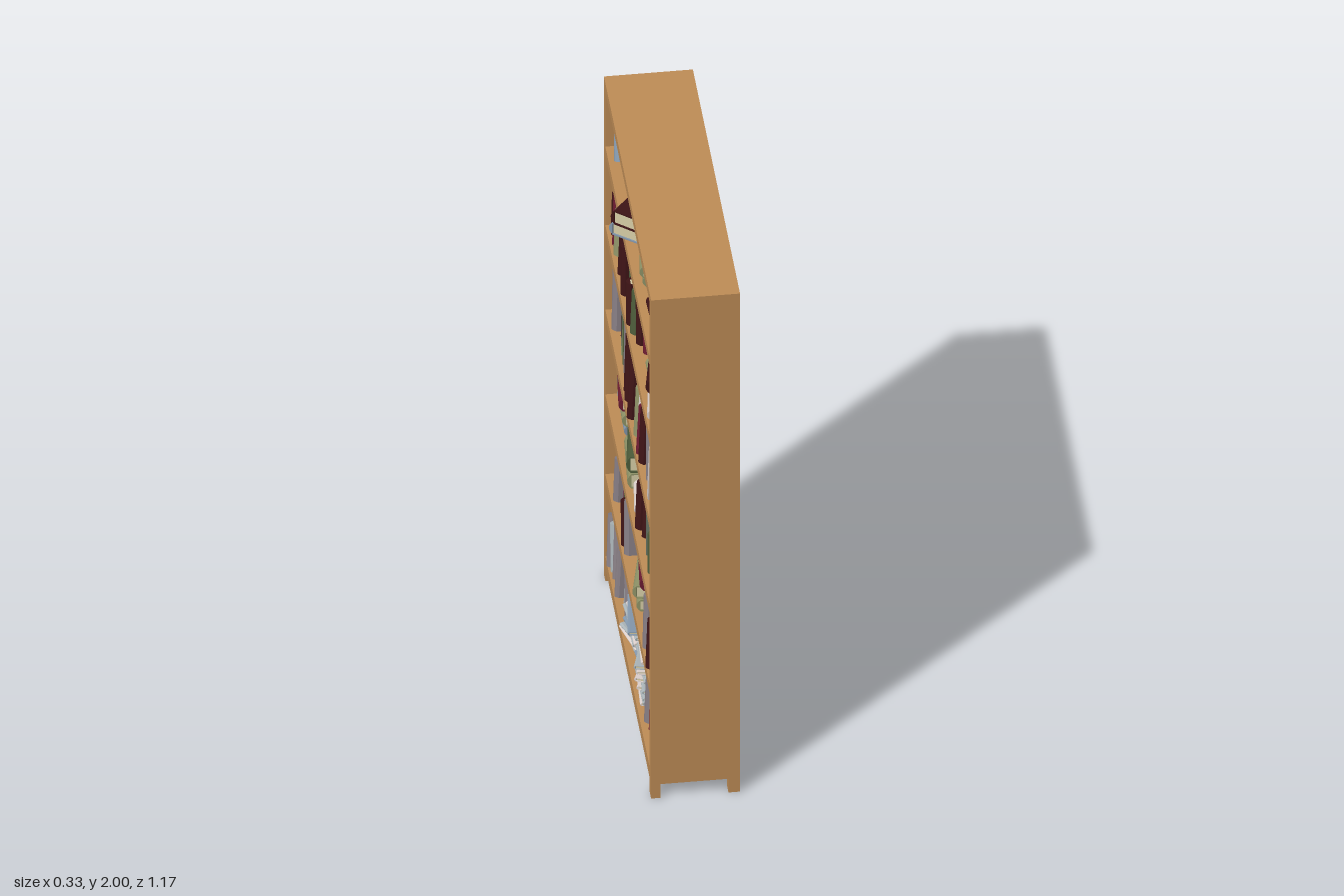
import * as THREE from 'three';

const mat = (color) => new THREE.MeshStandardMaterial({ color, flatShading: true });
const WOOD = mat(0xc08e57), PAGES = mat(0xd6cda6);
// cover colours, looked up by letter
const COVERS = {
  d: mat(0x3e1416), c: mat(0x6c1c31), o: mat(0x8f9468), g: mat(0x4d5c3a),
  s: mat(0x5f6a5c), b: mat(0x8397ac), m: mat(0x857c82), w: mat(0xdcd0cc), l: mat(0xaab4b8),
};
const SHELF_Y = [0.1, 0.43, 0.75, 1.09, 1.43, 1.745]; // top surfaces, bottom to top

let seed = 7;
const rand = (a = 0, b = 1) => {
  seed = (seed * 16807) % 2147483647;
  return a + (b - a) * (seed / 2147483647);
};

function box(parent, name, material, x0, x1, y0, y1, z0, z1) {
  const mesh = new THREE.Mesh(new THREE.BoxGeometry(x1 - x0, y1 - y0, z1 - z0), material);
  mesh.position.set((x0 + x1) / 2, (y0 + y1) / 2, (z0 + z1) / 2);
  mesh.name = name;
  parent.add(mesh);
}

// Book lying flat and centred: depth along x (spine at -x), thickness along y, length along z
function book(letter, depth, thick, length) {
  const group = new THREE.Group();
  group.name = 'book';
  const d = depth / 2, t = thick / 2, c = Math.min(0.005, thick * 0.15), b = Math.min(0.014, t);
  const profile = new THREE.Shape();
  profile.moveTo(d, t);
  profile.lineTo(-d + b, t);
  profile.quadraticCurveTo(-d - b, 0, -d + b, -t);
  profile.lineTo(d, -t);
  profile.lineTo(d, -t + c);
  profile.lineTo(-d + b, -t + c);
  profile.lineTo(-d + b, t - c);
  profile.lineTo(d, t - c);
  const geometry = new THREE.ExtrudeGeometry(profile, { depth: length, bevelEnabled: false, curveSegments: 6 });
  geometry.translate(0, 0, -length / 2);
  const cover = new THREE.Mesh(geometry, COVERS[letter]);
  cover.name = 'bookCover';
  group.add(cover);
  const e = 0.005;
  box(group, 'bookPages', PAGES, -d + b, d - e, -t + c, t - c, -length / 2 + e, length / 2 - e);
  return group;
}

// Row of standing books filling z0..z1, leaning towards -z
function row(parent, shelf, z0, z1, letters, hMin, hMax, lean) {
  const group = new THREE.Group();
  group.name = 'bookRow';
  const pitch = (z1 - z0) / letters.length;
  [...letters].forEach((letter, i) => {
    const thick = pitch * rand(0.68, 0.88), h = rand(hMin, hMax), depth = rand(0.12, 0.15);
    const a = lean * rand(0.3, 1.3);
    const item = book(letter, depth, thick, h);
    item.rotation.order = 'ZXY';
    item.rotation.x = -Math.PI / 2 - a;
    item.rotation.z = -rand(0, 0.07);
    item.position.set(rand(-0.118, -0.08) + depth / 2,
      SHELF_Y[shelf] + (h / 2) * Math.cos(a) + (thick / 2) * Math.sin(a), z0 + pitch * (i + 0.5));
    group.add(item);
  });
  parent.add(group);
}

// Pile of flat books listed from bottom to top
function stack(parent, shelf, x, z, letters, thick, turn = 0, jitter = 0.15, length = 0.21, depth = 0.13) {
  const group = new THREE.Group();
  group.name = 'bookStack';
  let y = 0;
  for (const letter of letters) {
    const t = thick * rand(0.9, 1.1), k = rand(0.92, 1.04);
    const item = book(letter, depth * k, t, length * k);
    item.position.set(rand(-0.008, 0.008), y + t / 2, rand(-0.012, 0.012));
    item.rotation.y = rand(-jitter, jitter);
    y += t;
    group.add(item);
  }
  group.position.set(x, SHELF_Y[shelf], z);
  group.rotation.y = turn;
  parent.add(group);
}

export function createModel() {
  seed = 7;
  const model = new THREE.Group();
  model.name = 'bookcase';
  const X0 = -0.118, X1 = 0.167, Z = 0.5875;

  // case
  const frame = new THREE.Group();
  frame.name = 'case';
  model.add(frame);
  box(frame, 'backPanel', WOOD, 0.14, X1, 0.055, 2, -Z, Z);
  box(frame, 'topPanel', WOOD, X0, 0.14, 1.965, 2, -Z, Z);
  box(frame, 'basePanel', WOOD, X0, 0.14, 0.055, SHELF_Y[0], -Z, Z);
  for (const s of [-1, 1]) {
    const zs = [s * Z, s * (Z - 0.035)].sort((a, b) => a - b);
    box(frame, 'sidePanel', WOOD, X0, 0.14, SHELF_Y[0], 1.965, ...zs);
    box(frame, 'foot', WOOD, X0, X0 + 0.03, 0, 0.055, ...zs);
    box(frame, 'foot', WOOD, X1 - 0.037, X1, 0, 0.055, ...zs);
  }
  for (const y of SHELF_Y.slice(1)) {
    box(frame, 'shelf', WOOD, X0, 0.14, y - 0.035, y, -Z + 0.035, Z - 0.035);
  }

  // top shelf: three piles and one slumped book
  stack(model, 5, -0.05, -0.135, 'bd', 0.054, -0.7, 0.06, 0.2);
  stack(model, 5, -0.02, 0.1, 'oos', 0.045, -0.12);
  stack(model, 5, -0.03, 0.385, 'dos', 0.045, -0.1);
  row(model, 5, -0.51, -0.47, 'b', 0.13, 0.14, 0.7);

  // second shelf from the top
  row(model, 4, -0.53, 0.14, 'dcogdcdgmdgdc', 0.15, 0.19, 0.1);
  stack(model, 4, -0.035, 0.375, 'wod', 0.05, -0.08);

  // third shelf, with one volume showing its cover
  row(model, 3, -0.53, 0.36, 'gmdsogmdddmdgowcdgm', 0.17, 0.235, 0.1);
  const display = new THREE.Group();
  display.name = 'displayBook';
  box(display, 'displayCover', COVERS.w, -0.065, 0.065, 0, 0.235, -0.012, 0.012);
  box(display, 'coverPicture', COVERS.l, -0.035, 0.035, 0.11, 0.17, -0.0135, -0.012);
  display.position.set(-0.045, SHELF_Y[3], 0.435);
  display.rotation.x = 0.2;
  model.add(display);

  // fourth shelf
  stack(model, 2, -0.03, -0.43, 'boc', 0.05, -0.1);
  stack(model, 2, -0.04, -0.16, 'og', 0.058, -0.15);
  stack(model, 2, -0.03, 0.02, 'w', 0.03, -0.1, 0.05, 0.15);
  row(model, 2, 0.12, 0.5, 'ddmsdgcd', 0.14, 0.18, 0.1);

  // fifth shelf
  row(model, 1, -0.53, -0.12, 'dgmcggcdm', 0.16, 0.2, 0.1);
  stack(model, 1, -0.035, 0.085, 'ooc', 0.05, -0.1);
  row(model, 1, 0.22, 0.48, 'cgmmd', 0.17, 0.23, 0.14);

  // bottom shelf: magazines and a few books
  row(model, 0, -0.53, -0.23, 'mlmmsmlmm', 0.17, 0.21, 0.18);
  stack(model, 0, -0.03, -0.09, 'lwlblwlwb', 0.013, 0.1, 0.3, 0.2, 0.14);
  stack(model, 0, -0.03, 0.14, 'wllwlbwlllwlw', 0.013, -0.1, 0.3, 0.2, 0.14);
  row(model, 0, 0.29, 0.51, 'mcdgc', 0.17, 0.21, 0.08);

  return model;
}
